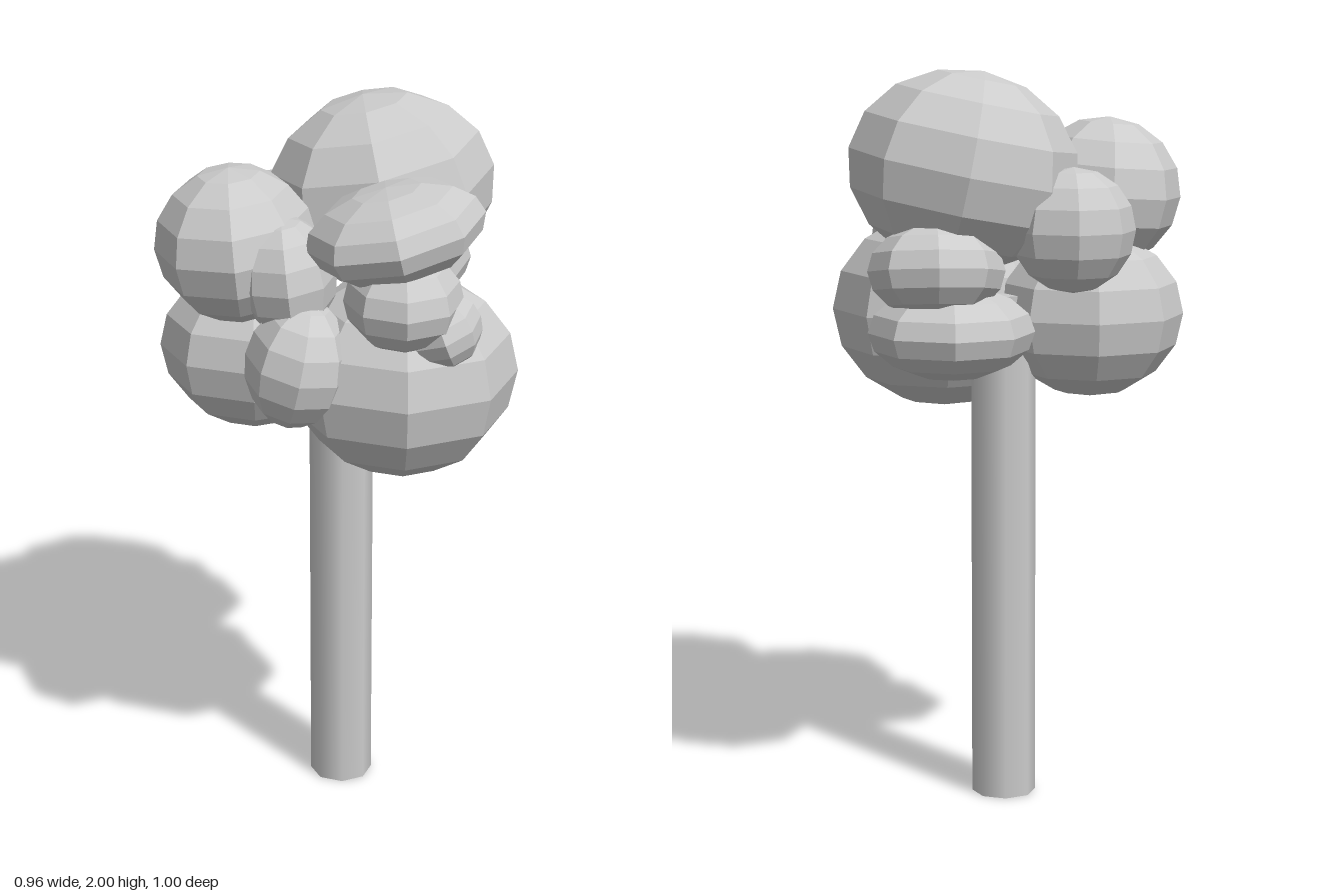
import * as THREE from 'three';

const material = new THREE.MeshStandardMaterial({ color: 0xcccccc, flatShading: true });
const barkMaterial = new THREE.MeshStandardMaterial({ color: 0xcccccc });

// Leaf clumps: name, centre, radii, tilt about x and z
const clumps = [
  ['crownTop', [0.13, 1.74, -0.17], [0.31, 0.265, 0.3], [0, 0.2]],
  ['crownLowerFront', [0.17, 1.335, 0.16], [0.31, 0.275, 0.3], [0, 0]],
  ['crownUpperRight', [-0.265, 1.665, 0.06], [0.215, 0.205, 0.25], [0, 0.08]],
  ['crownLowerRight', [-0.22, 1.34, -0.05], [0.255, 0.225, 0.24], [0, 0]],
  ['crownBack', [-0.15, 1.59, -0.28], [0.165, 0.165, 0.165], [0, 0]],
  ['frontCap', [0.145, 1.76, 0.27], [0.235, 0.12, 0.23], [0, 0.22]],
  ['frontUnderCap', [0.165, 1.59, 0.31], [0.155, 0.13, 0.18], [0, 0]],
  ['frontLeftKnob', [0.265, 1.51, 0.31], [0.105, 0.1, 0.13], [0, 0.35]],
  ['frontLowerKnob', [-0.105, 1.405, 0.27], [0.14, 0.17, 0.18], [0, -0.2]],
  ['frontUpperKnob', [-0.13, 1.61, 0.18], [0.13, 0.16, 0.17], [0, 0.1]],
  ['backLowerCap', [0.17, 1.325, -0.29], [0.22, 0.125, 0.21], [0, 0]],
  ['backUpperCap', [0.21, 1.49, -0.32], [0.18, 0.125, 0.175], [0.15, 0]],
];

export function createModel() {
  const tree = new THREE.Group();
  tree.name = 'tree';

  // Straight round trunk, buried in the foliage at the top
  const trunk = new THREE.Mesh(new THREE.CylinderGeometry(0.088, 0.088, 1.4, 8), barkMaterial);
  trunk.name = 'trunk';
  trunk.position.set(0.018, 0.7, -0.06);
  tree.add(trunk);

  // Overlapping faceted clumps
  const foliage = new THREE.Group();
  foliage.name = 'foliage';
  const ball = new THREE.SphereGeometry(1, 8, 8);
  for (const [name, centre, radii, [tiltX, tiltZ]] of clumps) {
    const clump = new THREE.Mesh(ball, material);
    clump.name = name;
    clump.position.set(...centre);
    clump.scale.set(...radii);
    clump.rotation.set(tiltX, 0, tiltZ);
    foliage.add(clump);
  }
  tree.add(foliage);
  return tree;
}
